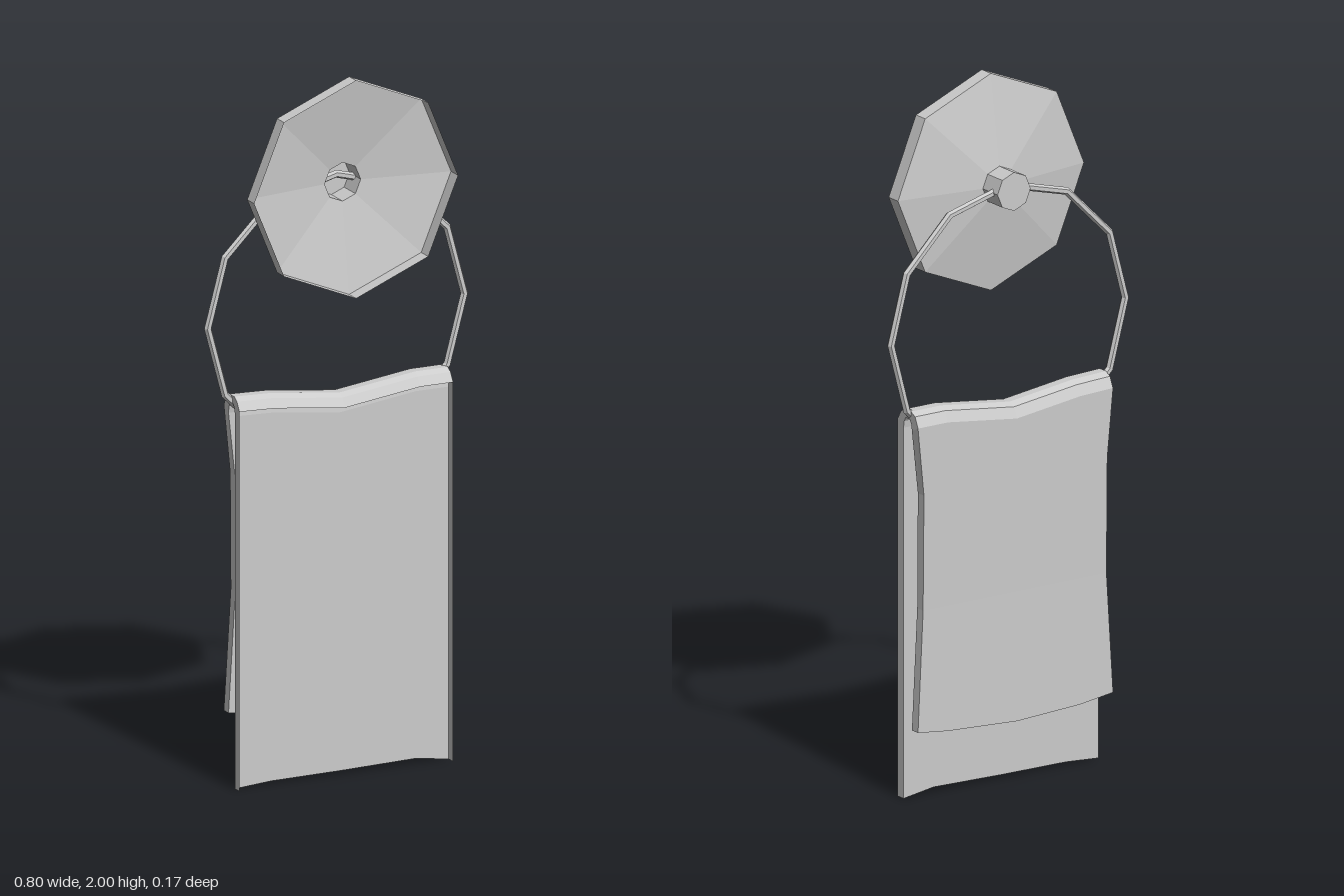
import * as THREE from 'three';

const material = new THREE.MeshStandardMaterial({
  color: 0xcccccc, flatShading: true, side: THREE.DoubleSide,
});

function part(name, geometry, x, y, z) {
  const mesh = new THREE.Mesh(geometry, material);
  mesh.name = name;
  mesh.position.set(x, y, z);
  return mesh;
}

// Towel: a cross-section (z, y) swept through columns across x
function towelGeometry() {
  const xs = [-0.32, -0.21, 0, 0.23, 0.33];
  const topDip = [0, -0.004, -0.03, 0, 0];
  const frontHem = [0, 0.008, 0.01, 0.015, 0];
  const backHem = [0, -0.015, -0.025, -0.012, 0];
  // front hem, up over the fold, down to the back hem
  const outer = [[0.013, 0], [0.013, 1.08], [-0.003, 1.105], [-0.02, 1.115], [-0.05, 1.115],
    [-0.07, 1.105], [-0.084, 1.075], [-0.084, 0.88], [-0.08, 0.55], [-0.084, 0.205]];
  const inner = [[-0.015, 0], [-0.015, 1.06], [-0.018, 1.08], [-0.026, 1.092], [-0.044, 1.092],
    [-0.052, 1.08], [-0.055, 1.06], [-0.055, 0.88], [-0.052, 0.55], [-0.055, 0.205]];
  const last = outer.length - 1;

  const point = (section, row, col) => {
    const [z, y] = section[row];
    const shift = row === 0 ? frontHem[col] : row === last ? backHem[col] : row < 7 ? topDip[col] : 0;
    const pinch = row === 7 || row === 8 ? 0.94 : 1; // back sheet narrows in the middle
    return [xs[col] * pinch, y + shift, z];
  };
  const positions = [];
  const quad = (a, b, c, d) => positions.push(...a, ...b, ...c, ...a, ...c, ...d);

  for (let row = 0; row < last; row++) {
    for (let col = 0; col < xs.length - 1; col++) {
      // the front sheet is open towards the front, between its side hems
      if (row > 0) {
        quad(point(outer, row, col), point(outer, row, col + 1),
          point(outer, row + 1, col + 1), point(outer, row + 1, col));
      }
      quad(point(inner, row, col), point(inner, row + 1, col),
        point(inner, row + 1, col + 1), point(inner, row, col + 1));
    }
    // side hems
    const end = xs.length - 1;
    quad(point(outer, row, 0), point(outer, row + 1, 0), point(inner, row + 1, 0), point(inner, row, 0));
    quad(point(outer, row, end), point(inner, row, end), point(inner, row + 1, end), point(outer, row + 1, end));
  }
  // bottom hem of the back sheet
  for (let col = 0; col < xs.length - 1; col++) {
    quad(point(outer, last, col), point(outer, last, col + 1),
      point(inner, last, col + 1), point(inner, last, col));
  }
  const geometry = new THREE.BufferGeometry();
  geometry.setAttribute('position', new THREE.Float32BufferAttribute(positions, 3));
  geometry.computeVertexNormals();
  return geometry;
}

export function createModel() {
  const group = new THREE.Group();
  group.name = 'towelRing';

  // Hollow octagonal wall plate with its stem, open towards the wall
  const profile = [[0, -0.07], [0.055, -0.07], [0.055, 0], [0.31, 0.04], [0.31, 0.084]]
    .map(([r, y]) => new THREE.Vector2(r, y));
  const plate = new THREE.LatheGeometry(profile, 8).rotateX(Math.PI / 2);
  group.add(part('wallPlate', plate, 0, 1.69, 0));

  // Twelve-sided ring hanging from the stem
  group.add(part('ring', new THREE.TorusGeometry(0.39, 0.011, 6, 12), 0, 1.312, -0.041));

  group.add(part('towel', towelGeometry(), 0, 0, 0));
  return group;
}
